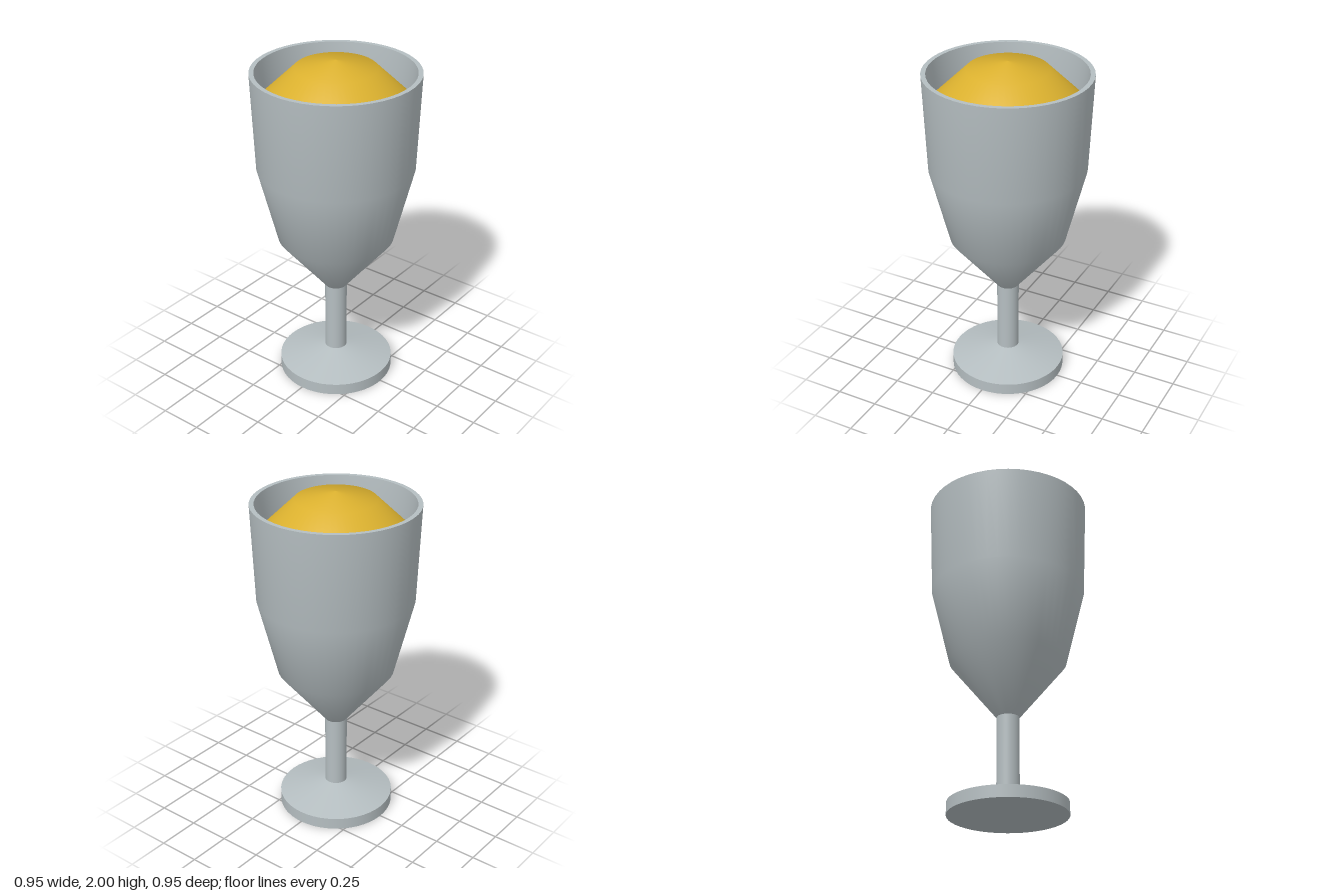
import * as THREE from 'three';

const SEGMENTS = 48;

export function createModel() {
  const model = new THREE.Group();
  model.name = 'goblet';
  const silver = new THREE.MeshStandardMaterial({ color: 0xb5bec1 });
  silver.name = 'silver';
  const gold = new THREE.MeshStandardMaterial({ color: 0xdab02e });
  gold.name = 'gold';

  // Turns a profile of [radius, height] points; separate strips meet at sharp edges.
  const turn = (name, material, profile, parent) => {
    const points = profile.map(([r, y]) => new THREE.Vector2(r, y));
    const mesh = new THREE.Mesh(new THREE.LatheGeometry(points, SEGMENTS), material);
    mesh.name = name;
    parent.add(mesh);
  };
  const part = (name) => {
    const group = new THREE.Group();
    group.name = name;
    model.add(group);
    return group;
  };

  // Foot: flat underside, short edge and shallow cone
  const foot = part('foot');
  turn('footUnderside', silver, [[0, 0], [0.34, 0]], foot);
  turn('footEdge', silver, [[0.34, 0], [0.34, 0.07]], foot);
  turn('footTop', silver, [[0.34, 0.07], [0.065, 0.14]], foot);

  // Stem
  turn('stem', silver, [[0.065, 0.14], [0.065, 0.575]], model);

  // Bowl: outside, rim and hollow inside
  const bowl = part('bowl');
  turn('bowlOutside', silver, [[0.065, 0.575], [0.34, 0.915], [0.452, 1.365], [0.475, 1.935]], bowl);
  turn('bowlRim', silver, [[0.475, 1.935], [0.448, 1.935]], bowl);
  turn('bowlInside', silver, [[0.448, 1.935], [0.43, 1.75], [0.42, 1.365], [0.31, 0.93], [0, 0.62]], bowl);

  // Heaped filling, rising just above the rim
  turn('filling', gold, [[0.43, 1.76], [0.23, 1.955], [0, 2]], model);

  return model;
}
